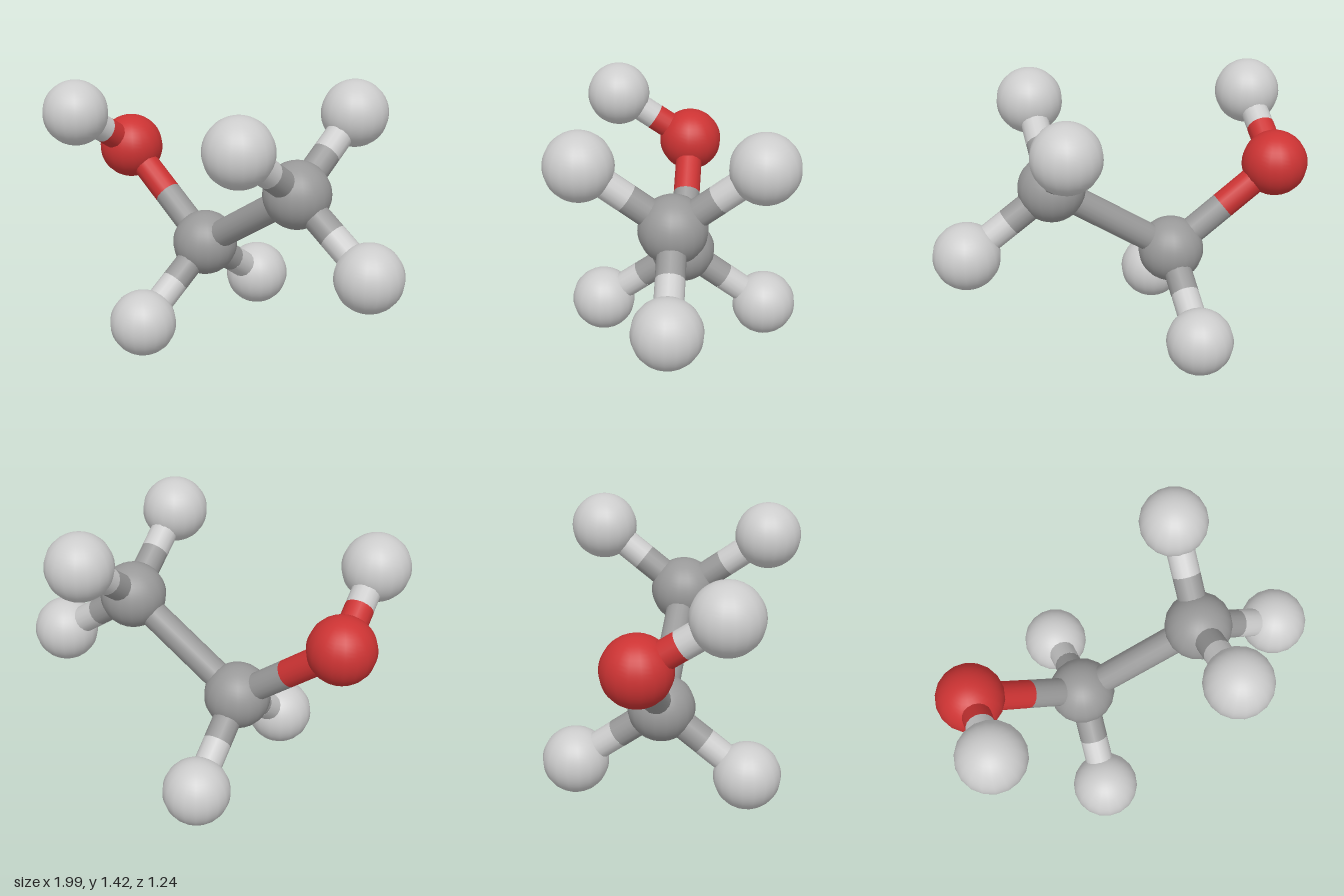
import * as THREE from 'three';

const ATOM_RADIUS = 0.173;
const BOND_RADIUS = 0.073;

const material = (name, color) => {
  const m = new THREE.MeshStandardMaterial({ color });
  m.name = name;
  return m;
};

export function createModel() {
  const group = new THREE.Group();
  group.name = 'ballAndStickMolecule';

  const paint = {
    hydrogen: material('lightGrey', 0xcccccc),
    carbon: material('midGrey', 0x999999),
    oxygen: material('red', 0xcc3333),
  };

  // Atoms: element and centre
  const atoms = {
    oxygen: ['oxygen', -0.825, 0.94, 0],
    middleCarbon: ['carbon', -0.26, 0.508, 0],
    endCarbon: ['carbon', 0.376, 0.925, 0],
    oxygenHydrogen: ['hydrogen', -0.805, 1.21, 0.405],
    middleHydrogenFront: ['hydrogen', -0.285, 0.178, 0.447],
    middleHydrogenBack: ['hydrogen', -0.285, 0.186, -0.449],
    endHydrogenFront: ['hydrogen', 0.395, 1.246, 0.447],
    endHydrogenBack: ['hydrogen', 0.387, 1.257, -0.437],
    endHydrogenLeft: ['hydrogen', 0.824, 0.604, -0.009],
  };

  const bonds = [
    ['oxygen', 'middleCarbon'],
    ['middleCarbon', 'endCarbon'],
    ['oxygen', 'oxygenHydrogen'],
    ['middleCarbon', 'middleHydrogenFront'],
    ['middleCarbon', 'middleHydrogenBack'],
    ['endCarbon', 'endHydrogenFront'],
    ['endCarbon', 'endHydrogenBack'],
    ['endCarbon', 'endHydrogenLeft'],
  ];

  const centre = (name) => new THREE.Vector3(...atoms[name].slice(1));

  // Balls
  const ball = new THREE.SphereGeometry(ATOM_RADIUS, 18, 24);
  for (const [name, [element]] of Object.entries(atoms)) {
    const mesh = new THREE.Mesh(ball, paint[element]);
    mesh.name = name + 'Ball';
    mesh.position.copy(centre(name));
    group.add(mesh);
  }

  // Half a stick, from an atom's centre to the middle of the bond
  const addHalfBond = (from, to) => {
    const start = centre(from);
    const along = centre(to).sub(start).multiplyScalar(0.5);
    const length = along.length();
    const mesh = new THREE.Mesh(
      new THREE.CylinderGeometry(BOND_RADIUS, BOND_RADIUS, length, 16, 1, true),
      paint[atoms[from][0]]
    );
    mesh.name = from + 'To' + to[0].toUpperCase() + to.slice(1) + 'Stick';
    mesh.position.copy(start).addScaledVector(along, 0.5);
    mesh.quaternion.setFromUnitVectors(new THREE.Vector3(0, 1, 0), along.normalize());
    group.add(mesh);
  };

  // Each stick takes the colour of the nearer atom
  for (const [a, b] of bonds) {
    addHalfBond(a, b);
    addHalfBond(b, a);
  }

  return group;
}
